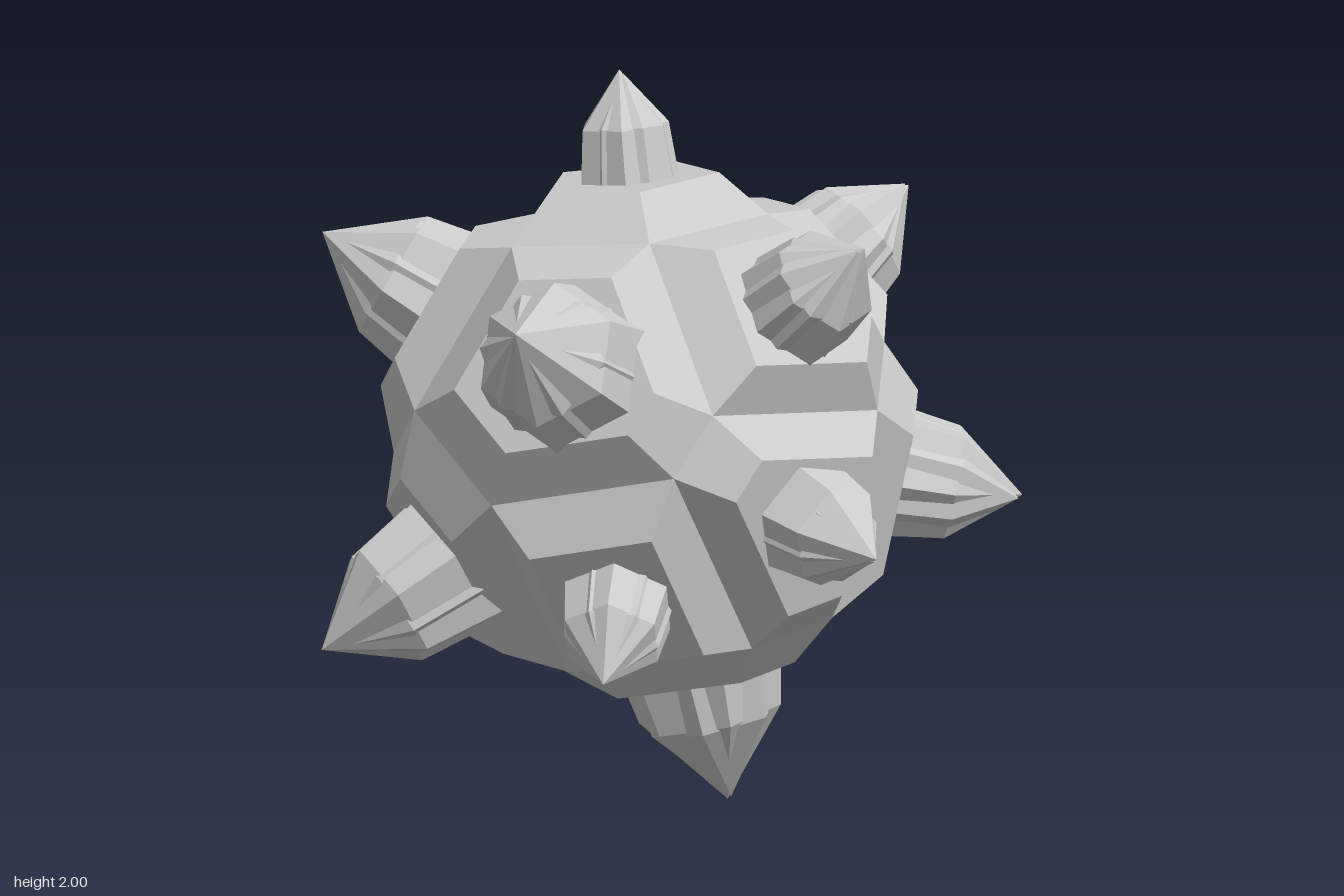
import * as THREE from 'three';

const CENTER = new THREE.Vector3(-0.055, 1.03, 0.02);
// Crystal tips and shoulder radii: x, y, z, radius
const SPIKES = [
  [-0.14, 2.0, -0.01, 0.125],
  [-0.94, 1.54, -0.05, 0.185],
  [-0.37, 1.46, 0.95, 0.2],
  [0.55, 1.63, 0.57, 0.155],
  [0.62, 1.62, -0.38, 0.16],
  [-0.22, 1.57, -0.82, 0.105],
  [0.94, 0.83, -0.1, 0.16],
  [0.59, 0.81, 0.73, 0.145],
  [-0.14, 0.48, 0.83, 0.14],
  [-0.92, 0.48, 0.38, 0.185],
  [0.3, 0.82, -0.95, 0.165],
  [-0.69, 0.63, -0.73, 0.165],
  [0.15, 0.0, -0.05, 0.2],
];
const GROOVE = 0.56;   // distance of the groove floor planes
const PLATEAU = 0.68;  // distance of the raised panels
const INSET = 0.67;    // panel size relative to its cell

const material = new THREE.MeshStandardMaterial({ color: 0xcccccc, flatShading: true });

// Corners of the solid bounded by one plane per direction, all at distance d
function solidCorners(dirs, d) {
  const corners = [];
  for (let i = 0; i < dirs.length; i++)
    for (let j = i + 1; j < dirs.length; j++)
      for (let k = j + 1; k < dirs.length; k++) {
        const [a, b, c] = [dirs[i], dirs[j], dirs[k]];
        const bc = b.clone().cross(c), det = a.dot(bc);
        if (Math.abs(det) < 1e-4) continue;
        const p = bc.add(c.clone().cross(a)).add(a.clone().cross(b)).multiplyScalar(d / det);
        if (dirs.every((n) => n.dot(p) < d + 1e-6)) corners.push({ p, faces: [i, j, k] });
      }
  return corners;
}

// Core: each cell is raised into a panel with sloped walls, leaving V grooves between
function makeCore(dirs) {
  const corners = solidCorners(dirs, GROOVE);
  const pos = [];
  const tri = (...pts) => pts.forEach((p) => pos.push(p.x, p.y, p.z));
  dirs.forEach((n, f) => {
    const u = new THREE.Vector3(0.31, 0.52, 0.79).cross(n).normalize();
    const v = n.clone().cross(u);
    const angle = (p) => Math.atan2(p.dot(v), p.dot(u));
    const outer = corners.filter((c) => c.faces.includes(f)).map((c) => c.p)
      .sort((a, b) => angle(a) - angle(b));
    const inner = outer.map((p) => p.clone().addScaledVector(n, -GROOVE)
      .multiplyScalar(INSET).addScaledVector(n, PLATEAU));
    const mid = n.clone().multiplyScalar(PLATEAU);
    outer.forEach((p, i) => {
      const j = (i + 1) % outer.length;
      tri(p, outer[j], inner[j]);
      tri(p, inner[j], inner[i]);
      tri(mid, inner[i], inner[j]);
    });
  });
  const geo = new THREE.BufferGeometry();
  geo.setAttribute('position', new THREE.Float32BufferAttribute(pos, 3));
  geo.computeVertexNormals();
  const core = new THREE.Mesh(geo, material);
  core.name = 'core';
  return core;
}

// Six-sided crystal: tapered shaft and pointed tip, growing along +y
function crystalShard(r, length) {
  const shoulder = length - 1.2 * r;
  const profile = [[r * 1.22, 0.6], [r, shoulder], [0, length]]
    .map(([x, y]) => new THREE.Vector2(x, y));
  const mesh = new THREE.Mesh(new THREE.LatheGeometry(profile, 6), material);
  mesh.name = 'shard';
  return mesh;
}

export function createModel() {
  const model = new THREE.Group();
  model.name = 'spikedCrystalBall';
  const ball = new THREE.Group();
  ball.name = 'ball';
  ball.position.copy(CENTER);
  model.add(ball);

  const tips = SPIKES.map(([x, y, z]) => new THREE.Vector3(x, y, z).sub(CENTER));
  const dirs = tips.map((t) => t.clone().normalize());
  ball.add(makeCore(dirs));

  // Each spike is a main shard with a slimmer, twisted twin that breaks through its sides
  const up = new THREE.Vector3(0, 1, 0);
  tips.forEach((tip, i) => {
    const r = SPIKES[i][3], length = tip.length();
    const spike = new THREE.Group();
    spike.name = 'crystalSpike';
    const main = crystalShard(r, length);
    main.rotation.y = i * 0.9;
    const twin = crystalShard(r * 0.91, length - 0.01);
    twin.rotation.set(0.012, i * 0.9 + 0.45, -0.012);
    spike.add(main, twin);
    spike.quaternion.setFromUnitVectors(up, dirs[i]);
    ball.add(spike);
  });
  return model;
}
